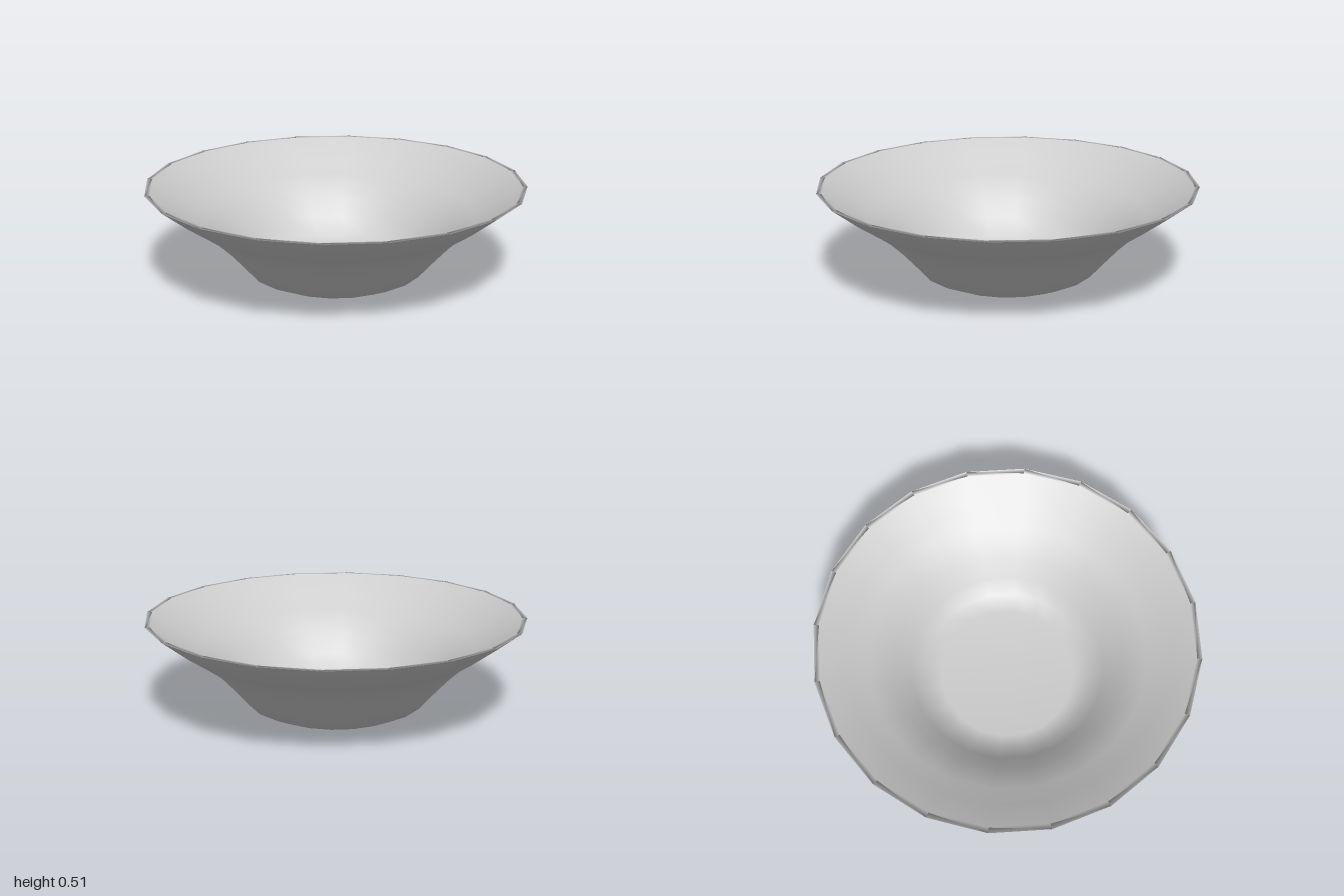
import * as THREE from 'three';

export function createModel() {
  const group = new THREE.Group();
  group.name = 'bowl';
  const material = new THREE.MeshStandardMaterial({ color: 0xcccccc });

  // Closed wall section: up the outside, over the rim, down the inside
  const outer = [
    [0, 0], [0.365, 0], [0.465, 0.045], [0.54, 0.13], [0.62, 0.217],
    [0.69, 0.283], [0.755, 0.329], [0.86, 0.4], [1, 0.508],
  ];
  const inner = [
    [0.972, 0.508], [0.84, 0.412], [0.735, 0.346], [0.67, 0.3],
    [0.6, 0.235], [0.52, 0.15], [0.45, 0.07], [0.36, 0.028], [0, 0.028],
  ];
  const profile = [...outer, ...inner].map(([r, y]) => new THREE.Vector2(r, y));

  // Twenty-sided smooth-shaded shell
  const shell = new THREE.Mesh(new THREE.LatheGeometry(profile, 20), material);
  shell.name = 'bowlShell';
  group.add(shell);
  return group;
}
